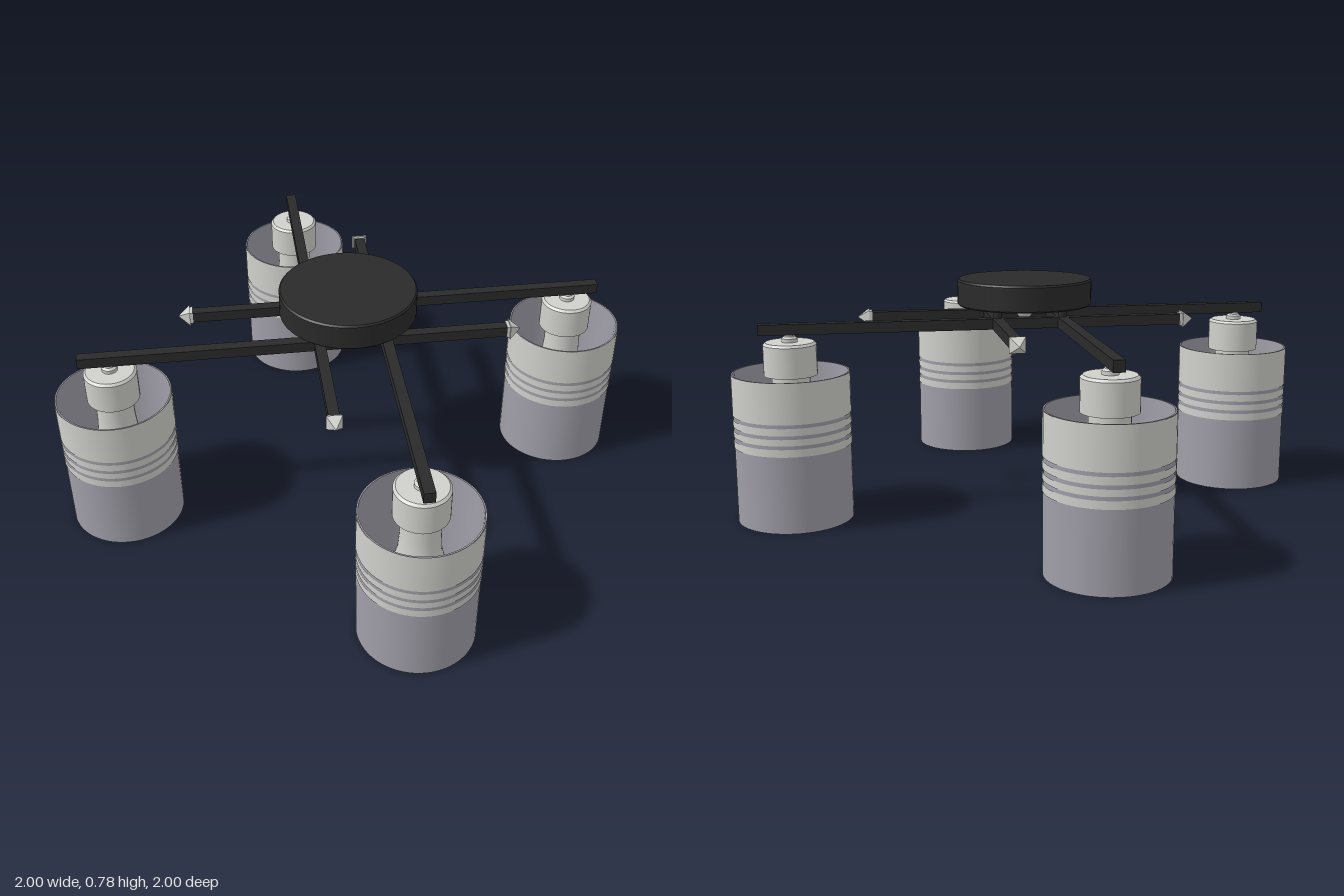
import * as THREE from 'three';

const black = new THREE.MeshStandardMaterial({ name: 'matte black metal', color: 0x2a2a2a });
const pale = new THREE.MeshStandardMaterial({ name: 'pale nickel', color: 0xd0d1cc });
const glass = new THREE.MeshStandardMaterial({ name: 'smoked glass', color: 0xa09ea8 });

const OFFSET = 0.112;   // arm distance from the centre lines
const SHADE_X = 0.804;  // shade position along its arm

function add(parent, name, geometry, material, x = 0, y = 0, z = 0) {
  const mesh = new THREE.Mesh(geometry, material);
  mesh.name = name;
  mesh.position.set(x, y, z);
  parent.add(mesh);
  return mesh;
}

// Lathe with hard edges: every profile segment gets its own smooth band
function turned(parent, name, profile, material, segments = 48) {
  const group = new THREE.Group();
  group.name = name;
  for (let i = 0; i < profile.length - 1; i++) {
    const pts = [profile[i], profile[i + 1]].map(([r, y]) => new THREE.Vector2(r, y));
    add(group, name + 'Band', new THREE.LatheGeometry(pts, segments), material);
  }
  parent.add(group);
  return group;
}

function createLamp() {
  const lamp = new THREE.Group();
  lamp.name = 'lamp';

  // Open glass tube with a thin wall
  turned(lamp, 'glassShade',
    [[0.188, 0], [0.193, 0], [0.193, 0.5], [0.188, 0.5], [0.188, 0]], glass, 64);

  // Pale bands around the upper half, glass showing in the gaps
  for (const [y0, y1] of [[0.258, 0.283], [0.295, 0.316], [0.328, 0.352], [0.364, 0.5]]) {
    add(lamp, 'shadeBand', new THREE.CylinderGeometry(0.195, 0.195, y1 - y0, 64, 1, true),
      pale, 0, (y0 + y1) / 2, 0);
  }

  // Socket cup with a softened top edge
  turned(lamp, 'socketCup',
    [[0, 0.49], [0.088, 0.49], [0.088, 0.592], [0.08, 0.6], [0, 0.6]], pale);

  // Swivel between cup and arm
  turned(lamp, 'swivel',
    [[0.026, 0.598], [0.026, 0.612], [0.018, 0.618], [0.018, 0.63]], pale, 24);

  // Reflector bulb: narrow neck, flared body, shallow domed face
  const bulb = [[0, 0.1], [0.05, 0.104], [0.09, 0.115], [0.113, 0.135], [0.115, 0.155],
    [0.105, 0.21], [0.085, 0.28], [0.068, 0.35], [0.063, 0.42], [0.063, 0.495]];
  add(lamp, 'bulb',
    new THREE.LatheGeometry(bulb.map(([r, y]) => new THREE.Vector2(r, y)), 40), pale);
  return lamp;
}

function createArm() {
  const arm = new THREE.Group();
  arm.name = 'arm';

  // Square bar
  add(arm, 'bar', new THREE.BoxGeometry(1.435, 0.036, 0.036), black, 0.1875, 0.642, -OFFSET);

  // Square collar and pyramid finial on the short end
  add(arm, 'finialCollar', new THREE.BoxGeometry(0.012, 0.042, 0.042), pale, -0.529, 0.642, -OFFSET);
  const tip = new THREE.ConeGeometry(0.037, 0.04, 4).toNonIndexed();
  tip.rotateY(Math.PI / 4);
  tip.rotateZ(Math.PI / 2);
  tip.computeVertexNormals();
  add(arm, 'finialTip', tip, pale, -0.553, 0.642, -OFFSET);

  // Post up to the canopy where two bars cross
  add(arm, 'post', new THREE.CylinderGeometry(0.015, 0.015, 0.1, 20), black, OFFSET, 0.705, -OFFSET);

  const lamp = createLamp();
  lamp.position.set(SHADE_X, 0, -OFFSET);
  arm.add(lamp);
  return arm;
}

export function createModel() {
  const model = new THREE.Group();
  model.name = 'ceilingLight';

  // Round canopy, recessed underneath
  turned(model, 'canopy', [[0, 0.72], [0.218, 0.72], [0.218, 0.69], [0.227, 0.69], [0.232, 0.695],
    [0.232, 0.775], [0.227, 0.781], [0, 0.781]], black, 64);

  // Small ball under the canopy
  add(model, 'centreBall', new THREE.SphereGeometry(0.029, 24, 16), pale, 0, 0.668, 0);
  add(model, 'ballStem', new THREE.CylinderGeometry(0.01, 0.01, 0.05, 16), pale, 0, 0.705, 0);

  // Four arms in a pinwheel
  for (let i = 0; i < 4; i++) {
    const arm = createArm();
    arm.rotation.y = i * Math.PI / 2;
    model.add(arm);
  }
  return model;
}
